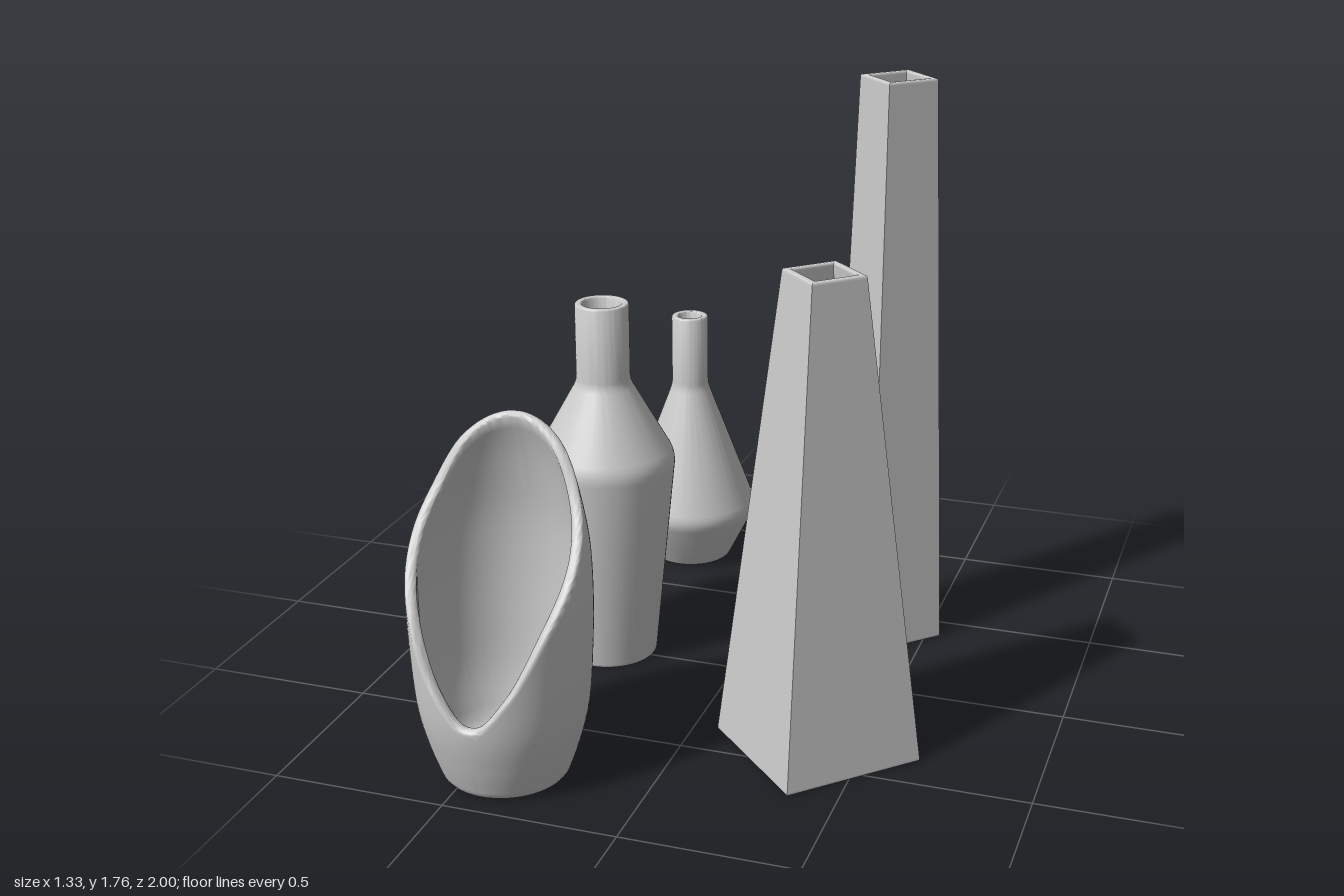
import * as THREE from 'three';
import { toCreasedNormals } from 'three/addons/utils/BufferGeometryUtils.js';

const material = new THREE.MeshStandardMaterial({ color: 0xcccccc });
const flatMaterial = new THREE.MeshStandardMaterial({ color: 0xcccccc, flatShading: true });

// Rounds the corners of a profile given as [radius, y, cornerSize] entries
function roundedProfile(corners) {
  const pts = corners.map(([r, y]) => new THREE.Vector2(r, y));
  const out = [pts[0]];
  for (let i = 1; i < pts.length - 1; i++) {
    const c = corners[i][2] ?? 0.008;
    const toward = (q) => pts[i].clone().add(q.clone().sub(pts[i]).setLength(c));
    out.push(...new THREE.QuadraticBezierCurve(toward(pts[i - 1]), pts[i], toward(pts[i + 1])).getPoints(4));
  }
  out.push(pts[pts.length - 1]);
  return out;
}

function place(name, geometry, mat, x, z) {
  const mesh = new THREE.Mesh(geometry, mat);
  mesh.name = name;
  mesh.position.set(x, 0, z);
  return mesh;
}

// Hollow bottle with a recessed foot, shoulder and straight neck
function bottle(name, x, z, foot, belly, bellyY, neck, neckY, height) {
  const w = 0.022;
  const profile = roundedProfile([
    [0, 0.03], [foot - 0.045, 0.03], [foot - 0.03, 0], [foot, 0, 0.012],
    [belly, bellyY, 0.03], [neck, neckY, 0.02], [neck, height],
    [neck - w, height], [neck - w, neckY], [belly - w, bellyY, 0.02], [foot - w, 0.055], [0, 0.055],
  ]);
  const geo = toCreasedNormals(new THREE.LatheGeometry(profile, 72), 0.6);
  return place(name, geo, material, x, z);
}

// Hollow four-sided tapering vase, corners on the axes
function squareVase(name, x, z, base, top, height) {
  const profile = roundedProfile([
    [0, 0.045], [base - 0.07, 0.045], [base - 0.035, 0], [base, 0],
    [top, height], [top - 0.027, height], [base - 0.045, 0.07], [0, 0.07],
  ]);
  return place(name, new THREE.LatheGeometry(profile, 4), flatMaterial, x, z);
}

// Linear-in-y lookup through a smooth curve
function smoothLookup(points) {
  const samples = new THREE.SplineCurve(points.map(([y, v]) => new THREE.Vector2(y, v))).getPoints(200);
  return (y) => {
    let i = 1;
    while (i < samples.length - 1 && samples[i].x < y) i++;
    const a = samples[i - 1], b = samples[i];
    return THREE.MathUtils.mapLinear(THREE.MathUtils.clamp(y, a.x, b.x), a.x, b.x, a.y, b.y);
  };
}

// Round vase sliced by a curved, sloping cut that opens it toward the front
function scoopVase(name, x, z) {
  const radius = smoothLookup([[0, 0.172], [0.1, 0.207], [0.22, 0.235], [0.4, 0.248], [0.55, 0.251],
    [0.68, 0.245], [0.8, 0.225], [0.9, 0.2], [1, 0.163]]);
  const cut = smoothLookup([[0.225, 0.2355], [0.32, 0.218], [0.5, 0.15], [0.68, 0.015], [0.79, -0.065],
    [0.91, -0.12], [0.985, -0.168]]);
  const rimHeight = (angle) => {
    let lo = 0.225, hi = 0.985;
    for (let k = 0; k < 40; k++) {
      const mid = (lo + hi) / 2;
      if (cut(mid) > radius(mid) * Math.cos(angle)) lo = mid; else hi = mid;
    }
    return lo;
  };
  const wall = 0.032, floor = 0.045, steps = 26, around = 128;

  // One cross-section: base, outer wall, rounded rim, inner wall, floor
  const section = (angle) => {
    const h = rimHeight(angle), pts = [[0, 0], [radius(0) - 0.012, 0], [radius(0) - 0.003, 0.004]];
    for (let k = 0; k <= steps; k++) {
      const y = THREE.MathUtils.lerp(0.015, h, k / steps);
      pts.push([radius(y), y]);
    }
    for (let k = 1; k < 8; k++) {
      const a = (Math.PI * k) / 8;
      pts.push([radius(h) - (wall / 2) * (1 - Math.cos(a)), h + 0.014 * Math.sin(a)]);
    }
    for (let k = 0; k <= steps; k++) {
      const y = THREE.MathUtils.lerp(h, floor + 0.03, k / steps);
      pts.push([radius(y) - wall, y]);
    }
    const r = radius(floor) - wall;
    pts.push([r - 0.005, floor + 0.01], [r - 0.025, floor], [0, floor]);
    return pts;
  };

  const positions = [], index = [];
  let rows = 0;
  for (let i = 0; i <= around; i++) {
    const angle = ((i % around) / around) * Math.PI * 2;
    const pts = section(angle);
    rows = pts.length;
    for (const [r, y] of pts) positions.push(r * Math.sin(angle), y, r * Math.cos(angle));
  }
  for (let i = 0; i < around; i++) {
    for (let j = 0; j < rows - 1; j++) {
      const a = i * rows + j, b = a + rows;
      if (j > 0) index.push(a, b, a + 1);
      if (j < rows - 2) index.push(b, b + 1, a + 1);
      else index.push(a, b, a + 1);
      if (j === 0) index.push();
    }
  }
  const geo = new THREE.BufferGeometry();
  geo.setAttribute('position', new THREE.Float32BufferAttribute(positions, 3));
  geo.setIndex(index.filter((_, k) => k >= 0));
  return place(name, toCreasedNormals(geo, 0.9), material, x, z);
}

export function createModel() {
  const group = new THREE.Group();
  group.name = 'vaseSet';
  group.add(
    scoopVase('scoopVase', -0.415, 0.765),
    bottle('shoulderedBottle', -0.415, -0.01, 0.147, 0.212, 0.645, 0.08, 0.88, 1.12),
    bottle('conicalBottle', -0.415, -0.785, 0.13, 0.221, 0.18, 0.06, 0.61, 0.85),
    squareVase('wideSquareVase', 0.365, 0.375, 0.297, 0.115, 1.39),
    squareVase('tallSquareVase', 0.365, -0.4, 0.18, 0.115, 1.76),
  );
  return group;
}
